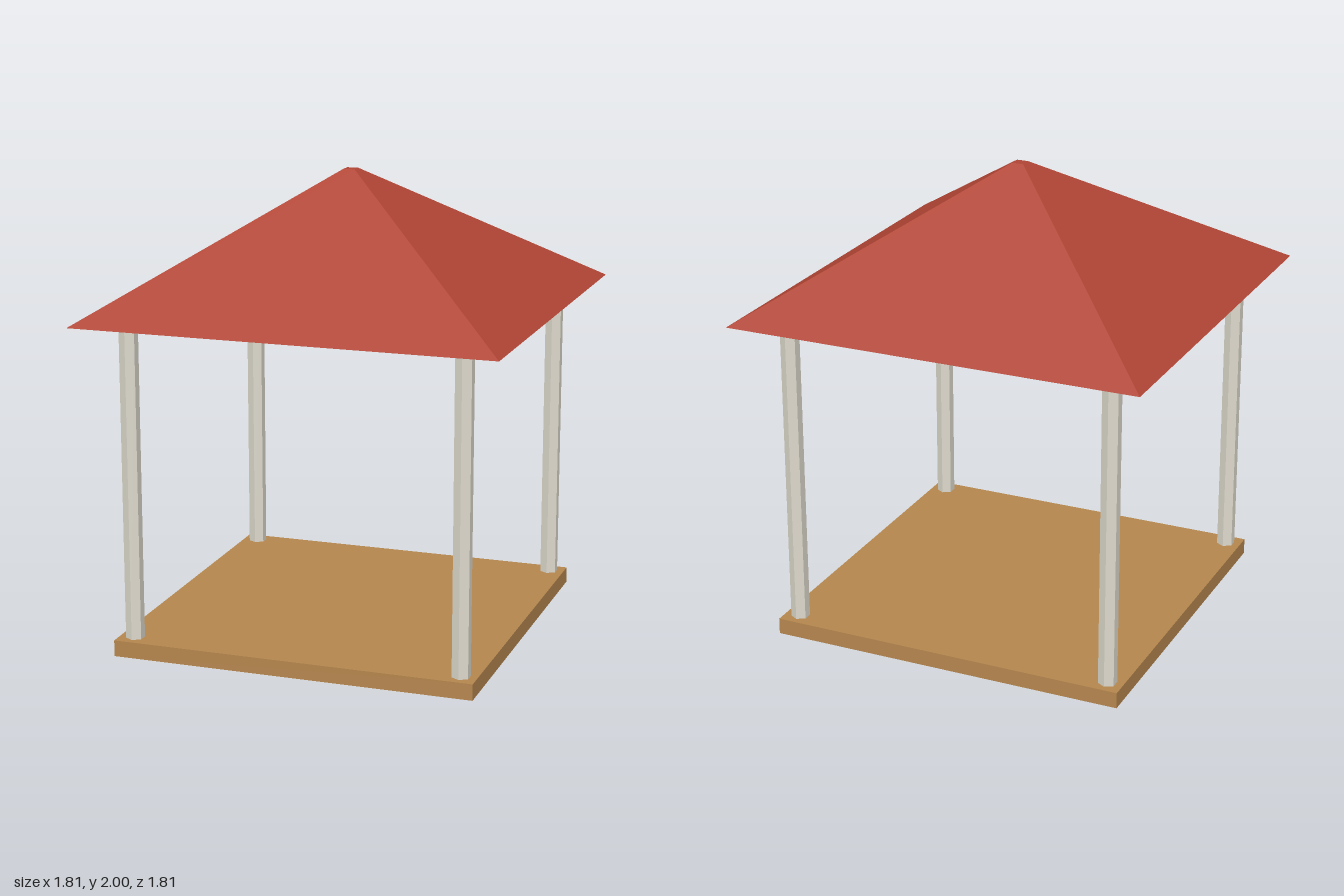
import * as THREE from 'three';

const material = (color) => new THREE.MeshStandardMaterial({ color, flatShading: true });

function addMesh(parent, name, geometry, mat, x, y, z) {
  const mesh = new THREE.Mesh(geometry, mat);
  mesh.name = name;
  mesh.position.set(x, y, z);
  parent.add(mesh);
  return mesh;
}

export function createModel() {
  const group = new THREE.Group();
  group.name = 'pavilion';

  const floorTop = 0.071, eaveY = 1.434, roofTop = 2;

  // Square wooden floor slab, a hair above the post feet
  const floorBottom = 0.001;
  addMesh(group, 'floor', new THREE.BoxGeometry(1.57, floorTop - floorBottom, 1.57),
    material(0xb5864e), 0, (floorTop + floorBottom) / 2, 0);

  // Four six-sided corner posts running through the floor to the roof
  const postGeometry = new THREE.CylinderGeometry(0.04, 0.04, eaveY, 6);
  const postMaterial = material(0xddd9cc);
  const posts = new THREE.Group();
  posts.name = 'posts';
  group.add(posts);
  for (const [side, x] of [['Left', 0.717], ['Right', -0.717]]) {
    for (const [end, z] of [['front', 0.717], ['back', -0.717]]) {
      addMesh(posts, `${end}${side}Post`, postGeometry, postMaterial, x, eaveY / 2, z);
    }
  }

  // Four-sided hipped roof with a tiny flat top and a closed underside
  const roofGeometry = new THREE.CylinderGeometry(
    0.025 * Math.SQRT2, 0.905 * Math.SQRT2, roofTop - eaveY, 4);
  roofGeometry.rotateY(Math.PI / 4);
  addMesh(group, 'roof', roofGeometry, material(0xb04535), 0, (eaveY + roofTop) / 2, 0);

  return group;
}
